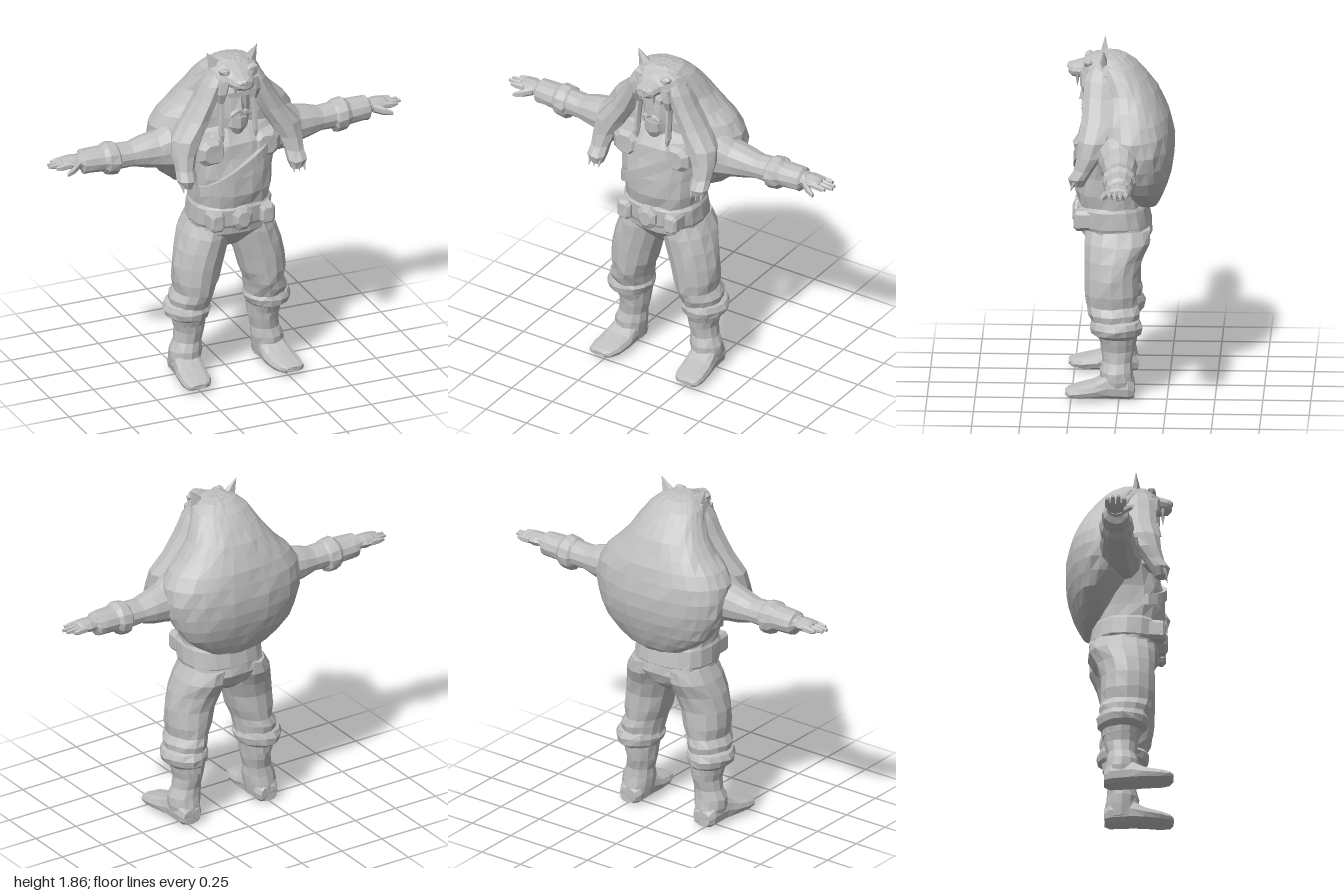
import * as THREE from 'three';

const grey = new THREE.MeshStandardMaterial({ color: 0xc0c0c0, flatShading: true });
grey.name = 'stone grey';

// Repeatable offset in [-0.5, 0.5] that gives surfaces a hewn look
const noise = (a, b) => {
  const s = Math.sin(a * 127.1 + b * 311.7) * 43758.5453;
  return s - Math.floor(s) - 0.5;
};

// Skin over cross-sections along an axis. Section: [position, min1, max1, min2, max2],
// bounds being x,z for axis y; y,z for axis x; x,y for axis z.
function loft(axis, sections, { sides = 12, power = 2, rough = 0.008, turn = 0 } = {}) {
  const pos = [], idx = [];
  const place = (w, a, b) => axis === 'y' ? [a, w, b] : axis === 'x' ? [w, a, b] : [a, b, w];
  const bend = (v) => Math.sign(v) * Math.abs(v) ** (2 / power);
  sections.forEach(([w, a0, a1, b0, b1], i) => {
    for (let j = 0; j < sides; j++) {
      const t = ((j + turn) / sides) * Math.PI * 2 * (axis === 'y' ? -1 : 1);
      const k = 1 + rough * 8 * noise(i + w, j);
      pos.push(...place(w + rough * noise(j, i + 5),
        (a0 + a1) / 2 + bend(Math.cos(t)) * k * (a1 - a0) / 2,
        (b0 + b1) / 2 + bend(Math.sin(t)) * k * (b1 - b0) / 2));
    }
  });
  const n = sections.length;
  for (const s of [sections[0], sections[n - 1]])
    pos.push(...place(s[0], (s[1] + s[2]) / 2, (s[3] + s[4]) / 2));
  for (let j = 0; j < sides; j++) {
    const q = (j + 1) % sides, top = (n - 1) * sides;
    for (let i = 0; i < n - 1; i++) {
      const a = i * sides + j, b = i * sides + q;
      idx.push(a, b, b + sides, a, b + sides, a + sides);
    }
    idx.push(n * sides, q, j, n * sides + 1, top + j, top + q);
  }
  const g = new THREE.BufferGeometry();
  g.setAttribute('position', new THREE.Float32BufferAttribute(pos, 3));
  g.setIndex(idx);
  g.computeVertexNormals();
  return g;
}

function mirrored(geo) {
  const g = geo.index ? geo.toNonIndexed() : geo.clone();
  const p = g.attributes.position;
  for (let i = 0; i < p.count; i += 3) {
    const v = [0, 2, 1].map((k) => [-p.getX(i + k), p.getY(i + k), p.getZ(i + k)]);
    v.forEach((c, k) => p.setXYZ(i + k, ...c));
  }
  g.computeVertexNormals();
  return g;
}

export function createModel() {
  const model = new THREE.Group();
  model.name = 'warrior';
  const add = (name, geo) => {
    const m = new THREE.Mesh(geo, grey);
    m.name = name;
    model.add(m);
  };
  const pair = (name, geo) => { add(name + 'Left', geo); add(name + 'Right', mirrored(geo)); };
  const cone = (r, h, sides, [x, y, z], [rx, ry, rz], flat = 1) =>
    new THREE.ConeGeometry(r, h, sides).scale(1, 1, flat).rotateX(rx).rotateY(ry).rotateZ(rz).translate(x, y, z);

  // Torso, belt and neck
  add('torso', loft('y', [
    [0.74, -0.06, 0.06, -0.07, 0.10], [0.79, -0.13, 0.13, -0.14, 0.16],
    [0.85, -0.22, 0.22, -0.17, 0.2], [0.92, -0.215, 0.215, -0.155, 0.21], [1.0, -0.21, 0.21, -0.13, 0.215],
    [1.08, -0.215, 0.215, -0.13, 0.235], [1.18, -0.225, 0.225, -0.13, 0.235], [1.28, -0.25, 0.25, -0.14, 0.215],
    [1.36, -0.27, 0.27, -0.14, 0.2], [1.43, -0.23, 0.23, -0.12, 0.16], [1.47, -0.1, 0.1, -0.08, 0.12],
  ], { sides: 18, power: 2.4 }));
  add('belt', loft('y', [
    [0.89, -0.215, 0.215, -0.15, 0.215], [0.905, -0.225, 0.225, -0.16, 0.225],
    [0.995, -0.22, 0.22, -0.145, 0.228], [1.015, -0.21, 0.21, -0.135, 0.215],
  ], { sides: 18, power: 2.4, rough: 0.003 }));
  add('buckle', loft('z', [[0.2, -0.065, 0.065, 0.87, 1.02], [0.235, -0.06, 0.06, 0.875, 1.015],
    [0.25, -0.035, 0.035, 0.9, 0.985]], { sides: 8, rough: 0.002, turn: 0.5 }));
  pair('beltPouch', loft('z', [[0.14, 0.1, 0.19, 0.89, 1.0], [0.225, 0.1, 0.185, 0.885, 1.0],
    [0.24, 0.115, 0.17, 0.9, 0.98]], { sides: 8, power: 4, rough: 0.003, turn: 0.5 }));
  pair('chestPlate', loft('z', [[0.08, 0.08, 0.25, 1.25, 1.41], [0.185, 0.08, 0.235, 1.255, 1.405],
    [0.212, 0.1, 0.205, 1.28, 1.385]], { sides: 8, power: 2.6, rough: 0.004, turn: 0.5 }));

  // Diagonal strap following the curve of the chest
  const strap = [];
  for (let i = 0; i <= 10; i++) {
    const x = -0.21 + i * 0.036, y = 1.225 + 0.6 * x;
    const z = 0.05 + 0.187 * (1 - Math.abs(x / 0.228) ** 2.4) ** (1 / 2.4);
    strap.push([x, y - 0.033, y + 0.033, z - 0.03, z + 0.012]);
  }
  add('chestStrap', loft('x', strap, { sides: 4, power: 6, rough: 0.001, turn: 0.5 }));

  // Legs, padded knee cuffs, boots
  pair('trouserLeg', loft('y', [
    [0.3, 0.13, 0.3, -0.09, 0.1], [0.4, 0.11, 0.32, -0.1, 0.14], [0.46, 0.1, 0.325, -0.11, 0.165],
    [0.5, 0.095, 0.3, -0.1, 0.175], [0.56, 0.07, 0.31, -0.1, 0.18], [0.65, 0.045, 0.31, -0.1, 0.185],
    [0.74, 0.015, 0.29, -0.12, 0.185], [0.82, 0.0, 0.26, -0.165, 0.19], [0.89, 0.01, 0.22, -0.16, 0.18],
  ], { sides: 14 }));
  pair('kneeCuff', loft('y', [
    [0.335, 0.13, 0.32, -0.09, 0.11], [0.355, 0.11, 0.345, -0.115, 0.145], [0.39, 0.1, 0.355, -0.122, 0.155],
    [0.42, 0.11, 0.34, -0.11, 0.145], [0.435, 0.13, 0.31, -0.09, 0.12],
  ], { sides: 14 }));
  pair('bootShaft', loft('y', [
    [0.04, 0.165, 0.31, -0.08, 0.1], [0.1, 0.15, 0.32, -0.08, 0.1], [0.15, 0.145, 0.32, -0.07, 0.1],
    [0.2, 0.145, 0.295, -0.065, 0.085], [0.26, 0.13, 0.29, -0.08, 0.095], [0.34, 0.12, 0.31, -0.09, 0.105],
  ], { sides: 12 }));
  pair('bootFoot', loft('z', [
    [-0.08, 0.19, 0.29, 0.01, 0.09], [-0.05, 0.17, 0.31, 0.0, 0.13], [0.06, 0.165, 0.32, 0.005, 0.14],
    [0.13, 0.165, 0.335, 0.012, 0.1], [0.21, 0.175, 0.34, 0.012, 0.08], [0.26, 0.195, 0.335, 0.018, 0.065],
    [0.28, 0.23, 0.31, 0.03, 0.055],
  ], { sides: 12, power: 2.6, rough: 0.005 }));

  // Arms, bracers and hands
  pair('arm', loft('x', [
    [0.2, 1.2, 1.44, -0.12, 0.12], [0.34, 1.2, 1.46, -0.11, 0.11], [0.4, 1.215, 1.42, -0.1, 0.09],
    [0.47, 1.23, 1.405, -0.1, 0.08], [0.54, 1.25, 1.38, -0.09, 0.065], [0.62, 1.245, 1.385, -0.09, 0.06],
    [0.8, 1.275, 1.37, -0.07, 0.04], [0.84, 1.295, 1.365, -0.065, 0.03],
  ]));
  pair('bracer', loft('x', [
    [0.61, 1.25, 1.38, -0.085, 0.055], [0.625, 1.22, 1.4, -0.105, 0.075], [0.675, 1.225, 1.405, -0.105, 0.075],
    [0.7, 1.25, 1.385, -0.09, 0.06], [0.78, 1.255, 1.385, -0.09, 0.055], [0.81, 1.255, 1.385, -0.085, 0.05],
    [0.825, 1.29, 1.365, -0.06, 0.03],
  ]));
  pair('palm', loft('x', [[0.81, 1.3, 1.36, -0.06, 0.025], [0.86, 1.295, 1.365, -0.075, 0.035],
    [0.91, 1.305, 1.36, -0.075, 0.035], [0.925, 1.315, 1.35, -0.07, 0.03]], { sides: 8, rough: 0.004 }));
  [0.97, 1.0, 0.995, 0.965].forEach((tip, i) => {
    const z = 0.025 - i * 0.029;
    pair('finger' + (i + 1), loft('x', [[0.89, 1.312, 1.35, z - 0.015, z + 0.014],
      [0.94, 1.31, 1.346, z - 0.014, z + 0.013], [tip, 1.318, 1.338, z - 0.008, z + 0.008]],
    { sides: 6, rough: 0.003 }));
  });
  pair('thumb', loft('x', [[0.835, 1.3, 1.35, 0.0, 0.035], [0.88, 1.29, 1.335, 0.03, 0.065],
    [0.925, 1.29, 1.315, 0.06, 0.08]], { sides: 6, rough: 0.003 }));

  // Fur cloak bulging over the back
  add('furCloak', loft('y', [
    [1.0, -0.08, 0.08, -0.185, -0.11], [1.02, -0.17, 0.17, -0.205, -0.08], [1.07, -0.25, 0.25, -0.228, -0.04],
    [1.13, -0.32, 0.32, -0.252, 0.0], [1.2, -0.365, 0.365, -0.27, 0.05], [1.27, -0.39, 0.39, -0.28, 0.08],
    [1.35, -0.402, 0.402, -0.282, 0.11], [1.43, -0.395, 0.395, -0.27, 0.13], [1.5, -0.35, 0.35, -0.25, 0.13],
    [1.56, -0.285, 0.285, -0.225, 0.12], [1.63, -0.225, 0.225, -0.19, 0.11], [1.7, -0.185, 0.185, -0.14, 0.12],
    [1.76, -0.15, 0.15, -0.085, 0.14], [1.8, -0.1, 0.1, -0.03, 0.14], [1.815, -0.05, 0.05, 0.03, 0.12],
  ], { sides: 28, power: 2.25, rough: 0.0045 }));
  pair('cloakDrape', loft('y', [
    [1.18, 0.28, 0.345, 0.18, 0.25], [1.22, 0.26, 0.37, 0.16, 0.265], [1.27, 0.26, 0.365, 0.13, 0.235],
    [1.34, 0.235, 0.37, 0.08, 0.22], [1.42, 0.19, 0.36, 0.04, 0.21], [1.52, 0.13, 0.285, 0.0, 0.195],
    [1.62, 0.095, 0.215, 0.0, 0.19], [1.7, 0.065, 0.175, 0.0, 0.185], [1.76, 0.04, 0.13, 0.02, 0.16],
  ], { sides: 9 }));
  for (const x of [0.285, 0.315, 0.345])
    pair('drapeClaw', cone(0.016, 0.06, 5, [x, 1.185, 0.24], [Math.PI - 0.4, 0, 0]));

  // Beast head hood: skull and muzzle, nose, brows, ears, fangs
  add('beastHead', loft('z', [
    [0.0, -0.17, 0.17, 1.6, 1.81], [0.07, -0.155, 0.155, 1.64, 1.818], [0.13, -0.135, 0.135, 1.67, 1.81],
    [0.17, -0.11, 0.11, 1.68, 1.79], [0.2, -0.075, 0.075, 1.68, 1.775], [0.25, -0.058, 0.058, 1.685, 1.762],
    [0.272, -0.035, 0.035, 1.705, 1.75],
  ], { sides: 12, rough: 0.005 }));
  add('beastNose', new THREE.IcosahedronGeometry(0.027, 0).scale(1.2, 0.8, 0.7).translate(0, 1.742, 0.262));
  pair('beastBrow', new THREE.IcosahedronGeometry(0.04, 0).scale(1.2, 0.6, 0.7).rotateZ(0.35).translate(0.07, 1.77, 0.165));
  pair('beastCheek', loft('y', [[1.6, 0.075, 0.11, 0.12, 0.18], [1.66, 0.06, 0.13, 0.1, 0.21],
    [1.73, 0.04, 0.12, 0.1, 0.21]], { sides: 7 }));
  pair('beastEar', cone(0.055, 0.12, 5, [0.115, 1.81, 0.085], [0, 0, -0.5], 0.55));
  pair('beastFang', cone(0.012, 0.06, 5, [0.04, 1.668, 0.225], [Math.PI, 0, 0]));

  // Face under the hood
  add('face', loft('y', [
    [1.4, -0.055, 0.055, 0.03, 0.13], [1.43, -0.075, 0.075, 0.03, 0.18], [1.5, -0.082, 0.082, 0.03, 0.19],
    [1.58, -0.088, 0.088, 0.03, 0.185], [1.64, -0.085, 0.085, 0.03, 0.18], [1.7, -0.06, 0.06, 0.04, 0.15],
  ], { sides: 12, rough: 0.004 }));
  add('nose', cone(0.028, 0.08, 4, [0, 1.6, 0.195], [0.12, 0, 0]));
  add('browRidge', new THREE.BoxGeometry(0.13, 0.025, 0.04).translate(0, 1.645, 0.175));
  pair('moustache', new THREE.IcosahedronGeometry(0.03, 0).scale(1.3, 0.6, 0.6).rotateZ(-0.5).translate(0.028, 1.538, 0.188));
  add('beard', loft('y', [[1.41, -0.03, 0.03, 0.11, 0.175], [1.45, -0.06, 0.06, 0.09, 0.2],
    [1.51, -0.055, 0.055, 0.09, 0.205]], { sides: 8 }));
  pair('braid', loft('y', [[1.38, 0.085, 0.1, 0.165, 0.185], [1.42, 0.08, 0.112, 0.15, 0.195],
    [1.5, 0.08, 0.11, 0.14, 0.19], [1.62, 0.075, 0.105, 0.12, 0.18]], { sides: 6, rough: 0.004 }));

  return model;
}
